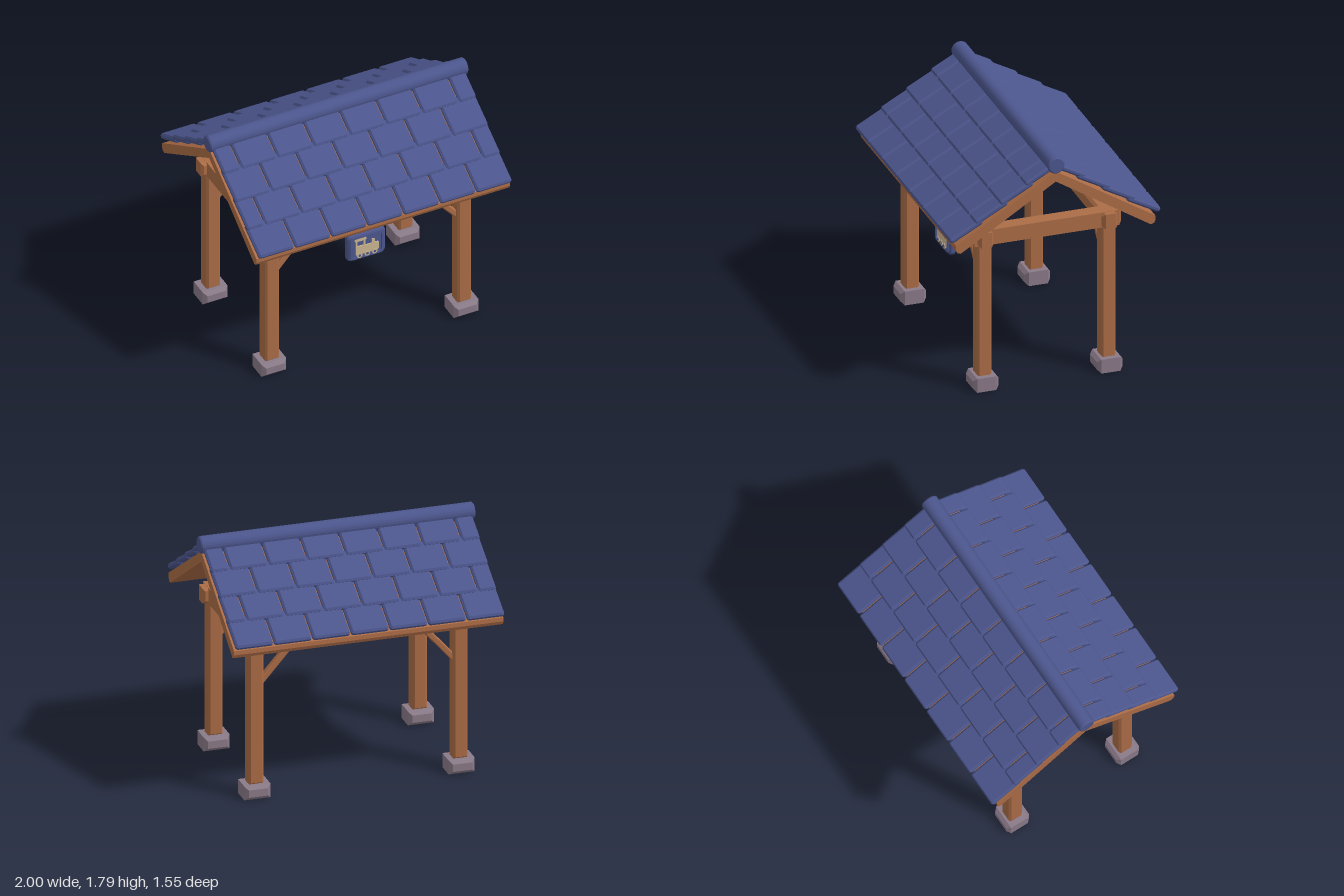
import * as THREE from 'three';
import { toCreasedNormals } from 'three/addons/utils/BufferGeometryUtils.js';

const material = (name, color, flatShading = true) => {
  const m = new THREE.MeshStandardMaterial({ color, flatShading });
  m.name = name;
  return m;
};

// Rounded rectangle outline centred on the origin
function outline(w, h, r = 0, Type = THREE.Shape) {
  const s = new Type(), x = w / 2, y = h / 2;
  if (!r) return s.setFromPoints([[-x, -y], [x, -y], [x, y], [-x, y]].map(p => new THREE.Vector2(...p)));
  s.absarc(x - r, -y + r, r, -Math.PI / 2, 0);
  s.absarc(x - r, y - r, r, 0, Math.PI / 2);
  s.absarc(-x + r, y - r, r, Math.PI / 2, Math.PI);
  s.absarc(-x + r, -y + r, r, Math.PI, Math.PI * 1.5);
  return s;
}

// Block of overall size w, h, d with its front and back edges bevelled
function slab(w, h, d, b, r = 0) {
  const g = new THREE.ExtrudeGeometry(outline(w - 2 * b, h - 2 * b, r), {
    depth: d - 2 * b, bevelSize: b, bevelThickness: b, bevelSegments: 1, curveSegments: 3,
  });
  return g.translate(0, 0, -(d - 2 * b) / 2);
}

export function createModel() {
  const model = new THREE.Group();
  model.name = 'shelter';
  const wood = material('wood', 0xab6c46);
  const blue = material('blue tile', 0x4c568d);
  const blueSmooth = blue;
  const stone = material('stone', 0x8a7a88);
  const tan = material('pale wood', 0xcbb592);
  const iron = material('iron', 0x4a4753);

  const add = (parent, name, geometry, mat, x = 0, y = 0, z = 0) => {
    const m = new THREE.Mesh(geometry, mat);
    m.name = name;
    m.position.set(x, y, z);
    parent.add(m);
    return m;
  };

  // Footings, posts and corner braces
  const X = 0.745, Z = 0.457;
  const footing = slab(0.19, 0.105, 0.19, 0.025);
  const post = slab(0.107, 1.06, 0.11, 0.014);
  const brace = slab(0.045, 0.4, 0.05, 0.008);
  for (const sx of [-1, 1]) {
    for (const sz of [-1, 1]) {
      add(model, 'footing', footing, stone, sx * X, 0.0525, sz * Z);
      add(model, 'post', post, wood, sx * X, 0.63, sz * Z);
      add(model, 'brace', brace, wood, sx * 0.592, 0.98, sz * Z).rotation.z = sx * 0.72;
    }
    // Beams crossing at the post tops
    add(model, 'sideBeam', slab(0.107, 0.115, 1.11, 0.022), wood, sx * X, 1.16, 0);
    add(model, 'longBeam', slab(1.68, 0.113, 0.112, 0.018), wood, 0, 1.159, sx * Z);
  }

  // Gabled roof board, drawn in profile and extruded along x
  const half = [[0.7, 1.163], [0.724, 1.17], [0.736, 1.195], [0.734, 1.225], [0.715, 1.238]];
  const profile = [[0, 1.605], ...half, [0, 1.682], ...half.map(([z, y]) => [-z, y]).reverse()];
  const board = new THREE.ExtrudeGeometry(
    new THREE.Shape(profile.map(p => new THREE.Vector2(...p))), { depth: 1.965, bevelEnabled: false });
  board.translate(0, 0, -0.9825).rotateY(Math.PI / 2);
  add(model, 'roofBoard', board, wood);

  // Overlapping tile rows, staggered by half a tile
  const pitch = 1.968 / 7, gap = 0.01, length = 0.27, slope = 0.495;
  const fullTile = slab(pitch - gap, length, 0.042, 0.013, 0.006);
  const halfTile = slab(pitch / 2 - gap, length, 0.042, 0.013, 0.006);
  for (const turn of [0, Math.PI]) {
    const side = new THREE.Group();
    side.name = turn ? 'backTiles' : 'frontTiles';
    side.rotation.y = turn;
    model.add(side);
    for (let row = 0; row < 4; row++) {
      const y = 1.256 + row * 0.117 + Math.sin(slope) * length / 2;
      const z = 0.773 - row * 0.185 - Math.cos(slope) * length / 2;
      const place = (g, x) => { add(side, 'tile', g, blue, x, y, z).rotation.x = slope - Math.PI / 2; };
      if (row % 2) {
        for (let i = -2.5; i <= 2.5; i++) place(fullTile, i * pitch);
        for (const s of [-1, 1]) place(halfTile, s * 3.25 * pitch);
      } else {
        for (let i = -3; i <= 3; i++) place(fullTile, i * pitch);
      }
    }
  }

  // Round ridge cap with softened ends
  const capPoints = [[0, -1], [0.053, -1], [0.062, -0.99], [0.062, 0.99], [0.053, 1], [0, 1]];
  const cap = toCreasedNormals(
    new THREE.LatheGeometry(capPoints.map(p => new THREE.Vector2(...p)), 24), 0.5).rotateZ(Math.PI / 2);
  add(model, 'ridgeCap', cap, blueSmooth, 0, 1.733, 0);

  // Hanging sign: board, raised frame and two rods
  const sign = new THREE.Group();
  sign.name = 'sign';
  sign.position.set(-0.003, 0.84, Z);
  model.add(sign);
  add(sign, 'signBoard', slab(0.295, 0.225, 0.05, 0.012, 0.022), blue);
  const rim = outline(0.262, 0.192, 0.025);
  rim.holes.push(outline(0.226, 0.16, 0.016, THREE.Path));
  add(sign, 'signFrame', new THREE.ExtrudeGeometry(rim, { depth: 0.01, bevelEnabled: false, curveSegments: 4 }),
    blue, 0, 0, 0.024);
  for (const s of [-1, 1])
    add(sign, 'hangingRod', new THREE.CylinderGeometry(0.005, 0.005, 0.16, 8), iron, s * 0.088, 0.19, 0);

  // Engine silhouette on the sign: cab with window, boiler, chimney
  const engine = new THREE.Shape([
    [-0.086, -0.062], [0.084, -0.062], [0.093, -0.05], [0.093, 0.0], [0.085, 0.007], [0.06, 0.007],
    [0.06, 0.04], [0.038, 0.04], [0.038, 0.007], [-0.012, 0.007], [-0.012, 0.055], [-0.004, 0.06],
    [-0.004, 0.07], [-0.015, 0.08], [-0.088, 0.08], [-0.095, 0.07], [-0.095, 0.06], [-0.086, 0.055],
  ].map(p => new THREE.Vector2(...p)));
  engine.holes.push(new THREE.Path(
    [[-0.073, 0.012], [-0.026, 0.012], [-0.026, 0.054], [-0.073, 0.054]].map(p => new THREE.Vector2(...p))));
  add(sign, 'engineCutout', new THREE.ExtrudeGeometry(engine, { depth: 0.009, bevelEnabled: false }), tan, 0, 0, 0.024);
  for (const x of [-0.058, 0.001, 0.059]) {
    add(sign, 'wheel', new THREE.CylinderGeometry(0.021, 0.021, 0.012, 16).rotateX(Math.PI / 2), tan, x, -0.068, 0.03);
    add(sign, 'wheelHub', new THREE.CylinderGeometry(0.01, 0.01, 0.004, 12).rotateX(Math.PI / 2), blue, x, -0.068, 0.036);
  }
  return model;
}
